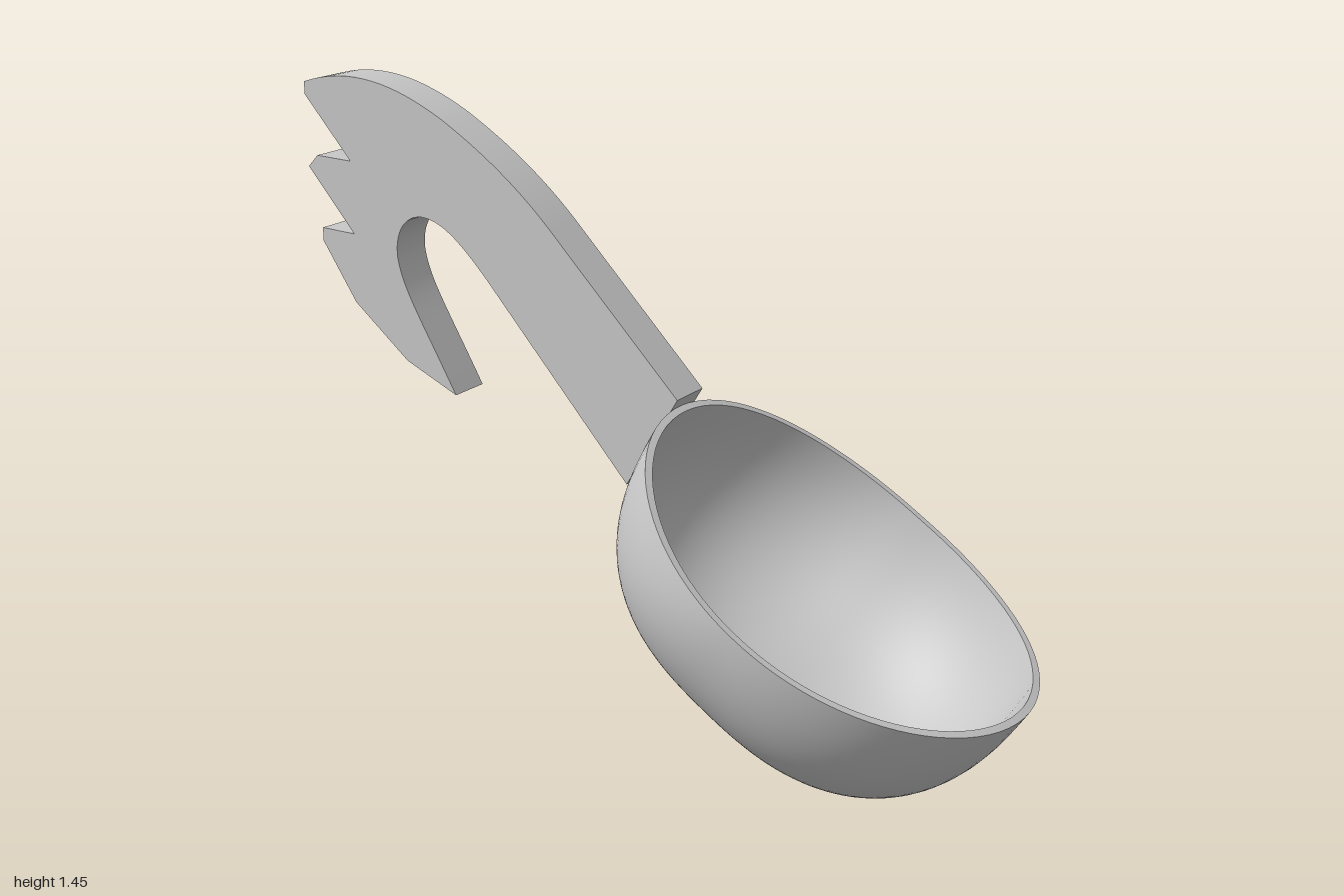
import * as THREE from 'three';
import { toCreasedNormals } from 'three/addons/utils/BufferGeometryUtils.js';

const SEG = 96, ROWS = 40;

// Tilted bowl frame: along points to the lip, down points into the bowl
const centre = new THREE.Vector3(0, 0.54, 0.555);
const along = new THREE.Vector3(0, -0.505, 0.863);
const down = new THREE.Vector3(0, -0.863, -0.505);

// Point on a squared-off half ellipsoid; s = 0 at the wavy rim, 1 at the bottom
function bowlPoint(phi, s, inset) {
  const a = 0.445 - inset, b = 0.52 - inset, c = 0.485 - inset, n = 2.6;
  const cx = Math.cos(phi), cu = Math.sin(phi);
  const r = 1 / Math.hypot(cx / a, cu / b);
  const rim = 0.055 * (1 - (cu * r / b) ** 2) + 0.055 * cx * r;
  const start = Math.atan2(rim, r);
  const t = start + (Math.PI / 2 - start) * s;
  const x = Math.cos(t) * cx, u = Math.cos(t) * cu, d = Math.sin(t);
  const side = (Math.abs(u / b) ** n + Math.abs(d / c) ** n) ** (2 / n);
  const k = 1 / Math.sqrt(side + (x / a) ** 2);
  return new THREE.Vector3(x * k, 0, 0).add(centre)
    .addScaledVector(along, u * k).addScaledVector(down, d * k);
}

// Closed rings of points joined into a smooth surface
function ringSurface(rows, pointAt) {
  const pos = [], index = [];
  for (let j = 0; j <= rows; j++) {
    for (let i = 0; i < SEG; i++) {
      pos.push(...pointAt((i / SEG) * Math.PI * 2, j / rows).toArray());
      if (j === rows) continue;
      const i2 = (i + 1) % SEG;
      const p = j * SEG + i, q = j * SEG + i2;
      index.push(p, q, q + SEG, p, q + SEG, p + SEG);
    }
  }
  const g = new THREE.BufferGeometry();
  g.setAttribute('position', new THREE.Float32BufferAttribute(pos, 3));
  g.setIndex(index);
  g.computeVertexNormals();
  return g;
}

// Side outline of the handle, drawn as (-z, y)
function handleGeometry() {
  const s = new THREE.Shape();
  s.moveTo(-0.123, 0.83);
  s.lineTo(0.02, 0.59);
  // hooked underside
  s.lineTo(0.43, 1.02);
  s.bezierCurveTo(0.52, 1.11, 0.57, 1.145, 0.632, 1.145);
  s.bezierCurveTo(0.69, 1.14, 0.72, 1.09, 0.714, 1.03);
  s.bezierCurveTo(0.70, 0.95, 0.65, 0.89, 0.54, 0.705);
  // notched end
  [[0.696, 0.765], [0.862, 0.889], [0.964, 1.034], [0.964, 1.068], [0.857, 1.068],
    [1, 1.221], [0.969, 1.253], [0.857, 1.253], [1, 1.403], [1, 1.435]]
    .forEach(([x, y]) => s.lineTo(x, y));
  // arched back
  s.bezierCurveTo(0.84, 1.49, 0.70, 1.46, 0.56, 1.395);
  s.bezierCurveTo(0.43, 1.33, 0.32, 1.255, 0.225, 1.162);
  s.closePath();
  const g = new THREE.ExtrudeGeometry(s, { depth: 0.103, bevelEnabled: false, curveSegments: 16 });
  g.rotateY(Math.PI / 2);
  g.translate(-0.04, 0, 0);
  return toCreasedNormals(g, 0.35);
}

export function createModel() {
  const model = new THREE.Group();
  model.name = 'ladle';
  const grey = new THREE.MeshStandardMaterial({ color: 0xc8c8c8 });
  grey.name = 'light grey';

  const add = (name, geometry, parent) => {
    const mesh = new THREE.Mesh(geometry, grey);
    mesh.name = name;
    parent.add(mesh);
  };

  // Bowl: outer skin, inner skin and the flat rim joining them
  const wall = 0.018;
  const bowl = new THREE.Group();
  bowl.name = 'bowl';
  add('bowlOutside', ringSurface(ROWS, (phi, t) => bowlPoint(phi, t, 0)), bowl);
  add('bowlInside', ringSurface(ROWS, (phi, t) => bowlPoint(phi, 1 - t, wall)), bowl);
  add('bowlRim', ringSurface(1, (phi, t) => bowlPoint(phi, 0, wall * (1 - t))), bowl);
  model.add(bowl);

  // Flat handle with a hooked, notched end
  add('handle', handleGeometry(), model);
  return model;
}
